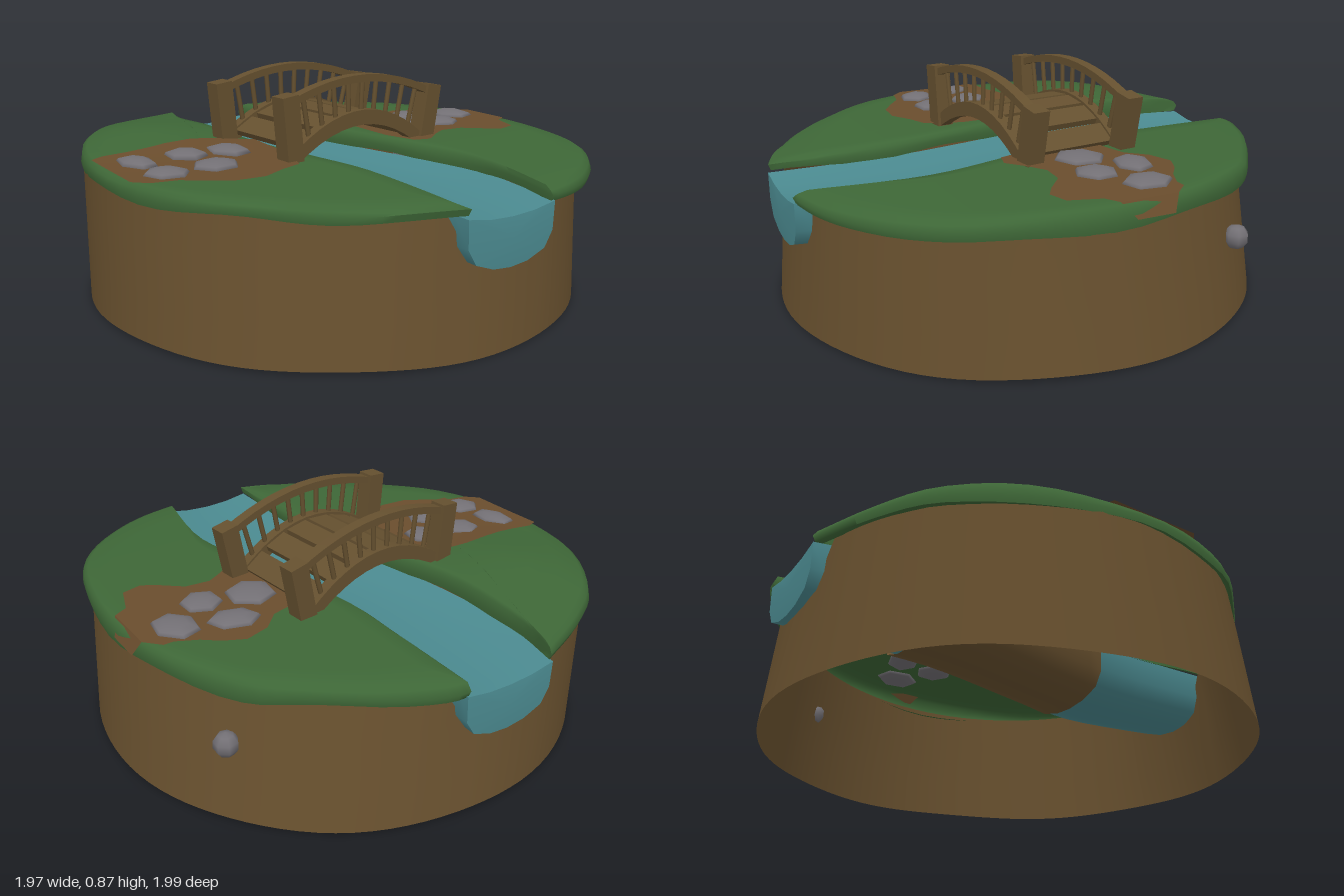
import * as THREE from 'three';
import { toCreasedNormals } from 'three/addons/utils/BufferGeometryUtils.js';

const mat = (name, color, side = THREE.DoubleSide) => {
  const m = new THREE.MeshStandardMaterial({ color, side });
  m.name = name;
  return m;
};

// Skin a list of equally long rows of [x, y, z] points
function skin(rows, closed = false, crease = 0.7) {
  const n = rows[0].length, idx = [];
  for (let i = 0; i < rows.length - 1; i++) {
    for (let j = 0; j < (closed ? n : n - 1); j++) {
      const a = i * n + j, b = i * n + (j + 1) % n;
      idx.push(a, b, a + n, b, b + n, a + n);
    }
  }
  const g = new THREE.BufferGeometry();
  g.setAttribute('position', new THREE.Float32BufferAttribute(rows.flat(2), 3));
  g.setIndex(idx);
  return toCreasedNormals(g, crease);
}

const spline = (pts, n) =>
  new THREE.SplineCurve(pts.map(p => new THREE.Vector2(...p))).getPoints(n);

// Ground height, with a low hill at the back right
const ground = (x, z) => 0.588 - 0.02 * Math.max(0, z) ** 2
  + 0.05 * Math.exp(-((x + 0.57) ** 2 + (z + 0.45) ** 2) / 0.09);

// Stream banks and outer edges, from back to front, as [x, z]
const leftBank = [[-0.25, -0.985], [-0.3, -0.75], [-0.28, -0.3], [-0.18, 0.2], [-0.13, 0.5], [-0.13, 0.985]];
const rightBank = [[0.12, -0.985], [0.12, -0.6], [0.13, -0.3], [0.24, 0.15], [0.32, 0.55], [0.25, 0.985]];
const leftEdge = [[-0.13, 0.985], [-0.3, 0.92], [-0.5, 0.8], [-0.68, 0.63], [-0.88, 0.37], [-0.975, 0],
  [-0.91, -0.42], [-0.72, -0.73], [-0.5, -0.88], [-0.25, -0.985]];
const rightEdge = [[0.25, 0.985], [0.4, 0.95], [0.55, 0.88], [0.72, 0.75], [0.85, 0.57], [0.92, 0.3], [0.94, 0],
  [0.88, -0.3], [0.75, -0.57], [0.62, -0.7], [0.4, -0.87], [0.2, -0.97], [0.12, -0.985]];

// Half of the turf: rolled rim, then rings closing on the middle
function turf(bank, edge, cx) {
  const loop = [...spline(bank, 24).slice(0, -1), ...spline(edge, 36).slice(0, -1)];
  const ring = (s, y) => loop.map(p => {
    const x = cx + (p.x - cx) * s, z = p.y * s;
    return [x, y ? y(x, z) : ground(x, z), z];
  });
  const low = (x, z) => 0.528 - 0.02 * Math.max(0, x) + 0.008 * Math.sin(9 * z + 4 * x);
  return skin([
    ring(0.965, low), ring(0.99, low), ring(1, (x, z) => low(x, z) + 0.025),
    ring(0.985, (x, z) => ground(x, z) - 0.012),
    ...[0.95, 0.8, 0.65, 0.5, 0.35, 0.2, 0].map(s => ring(s)),
  ], true, 1.2);
}

// Earth wall, open below, with a dip at both stream mouths
function earthWall() {
  const levels = [0, 0.3, 0.7, 1].map(t => {
    const row = [];
    for (let i = 0; i < 96; i++) {
      const a = i / 96 * Math.PI * 2, c = Math.cos(a), s = Math.sin(a);
      const r = THREE.MathUtils.lerp(0.983 + 0.015 * Math.sin(2 * a),
        0.945 - 0.015 * c + 0.045 * Math.sin(2 * a), t);
      const mouth = s > 0 ? Math.abs(r * c - 0.06) < 0.2 : Math.abs(r * c + 0.07) < 0.2;
      const top = mouth ? 0.44 : 0.545 - 0.02 * Math.max(0, c);
      const foot = 0.02 + 0.008 * Math.sin(5 * a) * Math.sin(2 * a + 1);
      row.push([r * c, THREE.MathUtils.lerp(foot, top, t), r * s]);
    }
    return row;
  });
  return skin(levels, true, 1);
}

// Stream body: a rounded trough section [across, y] swept between the banks
function stream(from, to, drop, caps) {
  const section = [[0, 0.525], [0.25, 0.508], [0.5, 0.503], [0.75, 0.508], [1, 0.525], [0.99, 0.42],
    [0.9, 0.36], [0.7, 0.33], [0.5, 0.322], [0.3, 0.33], [0.1, 0.36], [0.01, 0.42]];
  const L = spline(leftBank, 24), R = spline(rightBank, 24);
  const rows = [];
  for (let i = from; i <= to; i++) {
    const z = (L[i].y + R[i].y) / 2;
    rows.push(section.map(([u, y], k) => [
      THREE.MathUtils.lerp(L[i].x - 0.012, R[i].x + 0.012, u), y - (k > 4 ? drop : 0.6 * drop), z]));
  }
  if (caps) {
    const tip = row => row.map(() => [(row[0][0] + row[4][0]) / 2, 0.43, row[0][2] * 1.008]);
    rows.unshift(tip(rows[0]));
    rows.push(tip(rows[rows.length - 1]));
  }
  return skin(rows, true);
}

// Path sheet from stations [x, zBack, zFront, y?]
function path(stations) {
  return skin(stations.map(([x, a, b, y]) => {
    const row = [];
    for (let j = 0; j <= 8; j++) {
      const z = THREE.MathUtils.lerp(a, b, j / 8);
      row.push([x, y ?? ground(x, z) + 0.007, z]);
    }
    return row;
  }));
}

// Curved beam in the xy plane, centred on z = 0
const arcY = (x, half, end, mid) => end + (mid - end) * (1 - (x / half) ** 2);
function arch(half, end, mid, thick, depth) {
  const lower = [], upper = [];
  for (let i = 0; i <= 12; i++) {
    const x = -half + i / 6 * half, y = arcY(x, half, end, mid);
    lower.push(new THREE.Vector2(x, y));
    upper.unshift(new THREE.Vector2(x, y + thick));
  }
  const g = new THREE.ExtrudeGeometry(new THREE.Shape([...lower, ...upper]),
    { depth, bevelEnabled: false });
  return toCreasedNormals(g.translate(0, 0, -depth / 2), 0.6);
}

export function createModel() {
  const grass = mat('grass green', 0x3e6737), soil = mat('soil brown', 0x69512f);
  const water = mat('water blue', 0x4b8a90), dirt = mat('path brown', 0x6a4d2d);
  const wood = mat('wood brown', 0x65502f, THREE.FrontSide);
  const stone = mat('stone grey', 0x737075, THREE.FrontSide);
  const model = new THREE.Group();
  const add = (name, geo, m, parent = model) => {
    const mesh = new THREE.Mesh(geo, m);
    mesh.name = name;
    parent.add(mesh);
    return mesh;
  };

  // Island
  add('earthWall', earthWall(), soil);
  add('leftTurf', turf(rightBank, rightEdge, 0.55), grass);
  add('rightTurf', turf(leftBank, leftEdge, -0.55), grass);
  add('stream', stream(0, 24, 0, true), water);
  add('streamBed', stream(7, 17, 0.012, false), soil);
  add('rightPath', path([[-0.95, -0.2, 0.16], [-0.9, -0.22, 0.21], [-0.8, -0.21, 0.23], [-0.72, -0.21, 0.29],
    [-0.64, -0.22, 0.34], [-0.52, -0.23, 0.35], [-0.42, -0.21, 0.3], [-0.33, -0.18, 0.27], [-0.27, -0.16, 0.12]]), dirt);
  add('leftPath', path([[0.24, -0.2, 0.06], [0.28, -0.22, 0.2], [0.35, -0.23, 0.22], [0.43, -0.25, 0.16],
    [0.5, -0.32, 0.12], [0.6, -0.35, 0.13], [0.68, -0.31, 0.2], [0.74, -0.26, 0.24], [0.82, -0.22, 0.22],
    [0.86, -0.22, 0.1], [0.915, -0.16, 0.07], [0.945, -0.13, 0.02, 0.535]]), dirt);

  // Stepping stones: [x, z, half width, half depth, turn]
  [[-0.83, -0.06, 0.06, 0.1, 0.2], [-0.63, -0.06, 0.075, 0.085, 0.5], [-0.46, -0.04, 0.075, 0.095, 0.3],
    [-0.8, 0.13, 0.075, 0.085, 0.9], [-0.6, 0.125, 0.092, 0.082, 0.1], [0.42, -0.06, 0.1, 0.098, 0.4],
    [0.57, -0.2, 0.1, 0.072, -0.3], [0.61, -0.02, 0.083, 0.08, 0.6], [0.77, -0.13, 0.082, 0.1, 0.3],
  ].forEach(([x, z, w, d, turn]) => {
    const s = add('steppingStone', new THREE.SphereGeometry(1, 6, 6), stone);
    s.scale.set(w * 1.05, 0.028, d * 1.05);
    s.rotation.y = turn;
    s.position.set(x, ground(x, z) + 0.004, z);
  });
  const pebble = add('wallStone', new THREE.SphereGeometry(0.048, 7, 5), stone);
  pebble.position.set(0.795, 0.33, -0.52);

  // Arched footbridge
  const bridge = new THREE.Group();
  bridge.name = 'bridge';
  bridge.position.set(-0.02, 0, -0.05);
  bridge.rotation.set(0, 0.1, -0.045);
  model.add(bridge);
  for (const side of [-1, 1]) {
    const z = side * 0.215;
    add('stringer', arch(0.34, 0.555, 0.685, 0.06, 0.045), wood, bridge).position.z = z;
    add('handrail', arch(0.38, 0.775, 0.855, 0.03, 0.045), wood, bridge).position.z = z;
    for (const end of [-1, 1]) {
      const post = add('post', new THREE.BoxGeometry(0.075, 0.26, 0.07), wood, bridge);
      post.position.set(end * 0.365, 0.695, z);
      post.rotation.z = -end * 0.14;
    }
    for (let i = -4; i <= 4; i++) {
      const x0 = i * 0.066, x1 = i * 0.075;
      const y0 = arcY(x0, 0.34, 0.6, 0.73), y1 = arcY(x1, 0.38, 0.785, 0.865);
      const bar = add('baluster', new THREE.CylinderGeometry(0.01, 0.01, Math.hypot(x1 - x0, y1 - y0), 6), wood, bridge);
      bar.position.set((x0 + x1) / 2, (y0 + y1) / 2, z);
      bar.rotation.z = -Math.atan2(x1 - x0, y1 - y0);
    }
  }
  // Deck planks following the arch
  for (let i = 0; i < 6; i++) {
    const x = -0.27 + i * 0.108;
    const plank = add('plank', new THREE.BoxGeometry(0.096, 0.025, 0.4), wood, bridge);
    plank.position.set(x, arcY(x, 0.34, 0.59, 0.72), 0);
    plank.rotation.z = Math.atan(-2 * 0.13 * x / 0.34 ** 2);
  }
  return model;
}
